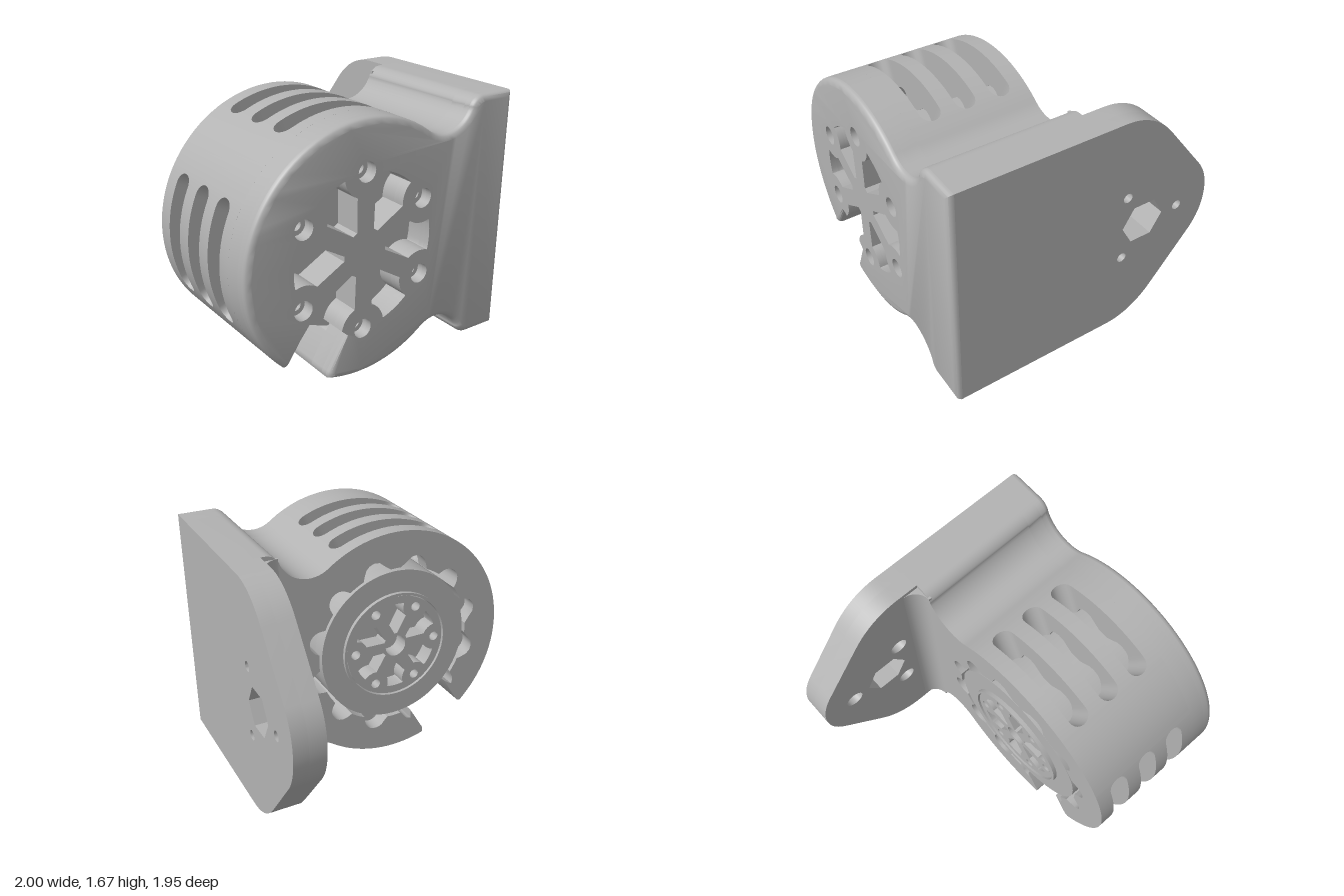
import * as THREE from 'three';
import { toCreasedNormals } from 'three/addons/utils/BufferGeometryUtils.js';

const CX = -0.165, CY = 0.8375, R = 0.8375;      // drum axis and radius
const BACK = -0.06, PLATE = 0.78, FRONT = 0.972; // depth stations
const rad = THREE.MathUtils.degToRad;
const V = (x, y) => new THREE.Vector2(x, y);

// polar point about the drum axis, angle in degrees
const polar = (r, a) => V(CX + r * Math.cos(rad(a)), CY + r * Math.sin(rad(a)));

function arc(x, y, r, a0, a1, n = 12) {
  const pts = [];
  for (let i = 0; i <= n; i++) {
    const a = rad(a0 + (a1 - a0) * i / n);
    pts.push(V(x + r * Math.cos(a), y + r * Math.sin(a)));
  }
  return pts;
}
const circle = (x, y, r, n = 24) => arc(x, y, r, 0, 360 - 360 / n, n - 1);
const drumArc = (a0, a1) => arc(CX, CY, R, a0, a1, Math.max(2, Math.ceil(Math.abs(a1 - a0) / 4)));

// rotate points given along a spoke direction into place
const place = (pts, a) => pts.map(p => p.clone().rotateAround(V(0, 0), rad(a)).add(V(CX, CY)));
const mirrorY = pts => pts.map(p => V(p.x, -p.y)).reverse();

// bore radius with twelve scallops
function bore(a) {
  const d = rad((((a % 30) + 30) % 30) - 15), r = 0.58, rho = 0.085, s = r * Math.sin(d);
  return Math.abs(s) < rho ? r * Math.cos(d) + Math.sqrt(rho * rho - s * s) : r;
}
function boreArc(a0, a1) {
  const pts = [], n = Math.ceil(Math.abs(a1 - a0) / 1.5);
  for (let i = 0; i <= n; i++) {
    const a = a0 + (a1 - a0) * i / n;
    pts.push(polar(bore(a), a));
  }
  return pts;
}

// half of a window between spokes, from the inner tip to the outer corner
const halfWindow = [V(0.155, 0.017), ...arc(0.446, 0.2575, 0.163, -126, -70, 8)];
const windowPts = [...mirrorY(halfWindow), ...halfWindow,
  ...arc(0, 0, 0.515, 11, -11, 6)];

// flank of the block, from its top edge to the drum
const neck = [...arc(0.757, 1.575, 0.1, 90, 159, 8), ...arc(0.46, 1.69, 0.22, 338, 233.7, 16)];
const lowerNeck = neck.map(p => V(p.x, 2 * CY - p.y)).reverse();
const block = [...lowerNeck, V(1, 0), V(1, 2 * CY), ...neck];

// rounded wall of the cable gap, along its direction
const GAP = 240;
const gapTip = [V(0.515, 0.167), V(0.775, 0.167), V(0.797, 0.172), V(0.81, 0.183)];
const gapWall = [V(0.57, 0.167), ...gapTip.slice(1)];

function extrude(pts, holes, z0, z1, steps = 1) {
  const shape = new THREE.Shape(pts);
  shape.holes = holes.map(h => new THREE.Path(h));
  const g = new THREE.ExtrudeGeometry(shape, { depth: z1 - z0, steps, bevelEnabled: false });
  return g.translate(0, 0, z0);
}

// round the front rim of a slab by moving its outline inwards
function roundRim(geo, pts, z0, b) {
  const key = (x, y) => Math.fround(x) + ',' + Math.fround(y), dirs = new Map();
  pts.forEach((p, i) => {
    if (p.distanceTo(V(CX, CY)) < 0.56) return;
    const normal = (a, c) => V(a.y - c.y, c.x - a.x).normalize();
    const n1 = normal(pts.at(i - 1), p), n2 = normal(p, pts[(i + 1) % pts.length]);
    dirs.set(key(p.x, p.y), n1.clone().add(n2).divideScalar(1 + n1.dot(n2)));
  });
  const pos = geo.attributes.position;
  for (let i = 0; i < pos.count; i++) {
    const d = dirs.get(key(pos.getX(i), pos.getY(i)));
    if (!d) continue;
    const t = Math.min(1, Math.max(0, (pos.getZ(i) - z0) / b));
    const k = b * (1 - Math.sqrt(1 - t * t));
    pos.setXY(i, pos.getX(i) + d.x * k, pos.getY(i) + d.y * k);
  }
  return geo;
}

// curved ribs that leave three round-ended vents between them
function ventRibs(mid, half) {
  const N = 24, vents = [0.12, 0.37, 0.615], out = [], r = 0.07;
  const sections = [];
  for (let i = 0; i <= N; i++) {
    const off = -half * Math.cos(Math.PI * i / N), a = mid + off;
    const over = Math.max(0, Math.abs(rad(off)) * R - (rad(half) * R - r));
    const h = Math.sqrt(Math.max(0, r * r - over * over));
    const edges = [BACK, ...vents.flatMap(z => [z - h, z + h]), PLATE];
    const o = polar(R, a), n = polar(bore(a), a);
    sections.push([0, 2, 4, 6].map(k => [
      [o.x, o.y, edges[k]], [o.x, o.y, edges[k + 1]],
      [n.x, n.y, edges[k + 1]], [n.x, n.y, edges[k]]]));
  }
  for (let i = 0; i < N; i++) for (let s = 0; s < 4; s++) for (let k = 0; k < 4; k++) {
    const A = sections[i][s], B = sections[i + 1][s], m = (k + 1) % 4;
    out.push(...A[k], ...B[k], ...B[m], ...A[k], ...B[m], ...A[m]);
  }
  const g = new THREE.BufferGeometry();
  g.setAttribute('position', new THREE.Float32BufferAttribute(out, 3));
  return g;
}

export function createModel() {
  const model = new THREE.Group();
  model.name = 'motorMount';
  const grey = new THREE.MeshStandardMaterial({ color: 0xb2b2b2 });
  grey.name = 'grey';
  const add = (name, geo) => {
    const mesh = new THREE.Mesh(toCreasedNormals(geo, 0.6), grey);
    mesh.name = name;
    model.add(mesh);
  };

  // housing wall, in pieces between the vents and the cable gap
  const g1 = GAP - 13, g2 = GAP + 13;
  const upperGap = place(mirrorY(gapWall), GAP), lowerGap = place(gapWall, GAP);
  const wall = (name, pts) => add(name, extrude(pts, [], BACK, PLATE));
  wall('blockWall', [...drumArc(298.5, 305), ...block, ...drumArc(55, 61.5), ...boreArc(61.5, -61.5)]);
  wall('upperWall', [...drumArc(118.5, 151.5), ...boreArc(151.5, 118.5)]);
  wall('gapWallLeft', [...drumArc(208.5, g1), ...upperGap, ...boreArc(222.5, 208.5)]);
  wall('gapWallRight', [...lowerGap, ...drumArc(g2, 267.5), ...boreArc(267.5, 257.5)]);

  // vented wall sections
  add('topVents', ventRibs(90, 28.5));
  add('sideVents', ventRibs(180, 28.5));
  add('bottomVents', ventRibs(283, 15.5));

  // front plate, with spoke windows and counterbored screw holes
  const outline = [...block, ...drumArc(55, g1),
    ...place(mirrorY(gapTip), GAP), ...place(mirrorY(halfWindow), GAP),
    ...place(halfWindow, GAP), ...place(gapTip, GAP), ...drumArc(g2, 305)];
  const windows = [0, 60, 120, 180, 300].map(a => place(windowPts, a));
  const screws = r => [30, 90, 150, 210, 270, 330].map(a => {
    const p = polar(0.515, a);
    return circle(p.x, p.y, r);
  });
  const rim = 0.04;
  add('frontPlateInner', extrude(outline, [...windows, ...screws(0.035)], PLATE, 0.89));
  add('frontPlateOuter', extrude(outline, [...windows, ...screws(0.065)], 0.89, FRONT - rim));
  add('frontPlateRim', roundRim(
    extrude(outline, [...windows, ...screws(0.065)], FRONT - rim, FRONT, 4), outline, FRONT - rim, rim));

  // side tail plate, drawn with depth running backwards
  const curve = (a, c, b) => new THREE.QuadraticBezierCurve(a, c, b).getPoints(10);
  const upperTail = [V(0.05, 2 * CY),
    ...curve(V(0.22, 2 * CY), V(0.433, 2 * CY), V(0.59, 1.48)),
    ...curve(V(0.88, 1.12), V(0.975, 1.0), V(0.975, CY))];
  const lowerTail = upperTail.slice(0, -1).map(p => V(p.x, 2 * CY - p.y));
  const tail = [...lowerTail, ...upperTail.reverse()];
  const hexagon = circle(0.44, CY, 0.162, 6);
  const tailHoles = r => [0, 120, 240].map(a =>
    circle(0.44 + 0.29 * Math.cos(rad(a)), CY + 0.29 * Math.sin(rad(a)), r));
  const tailSlab = (name, r, x0, x1) =>
    add(name, extrude(tail, [hexagon, ...tailHoles(r)], x0, x1).rotateY(Math.PI / 2));
  tailSlab('tailPlateInner', 0.065, 0.785, 0.9);
  tailSlab('tailPlateOuter', 0.035, 0.9, 1);

  // fillet between the housing back and the tail plate
  const fillet = [V(0.8, 0.04), V(0.8, 0.175), ...arc(0.67, 0.175, 0.115, 0, -90, 8), V(0.67, 0.04)];
  add('tailFillet', extrude(fillet, [], 0.03, 2 * CY - 0.03).rotateX(-Math.PI / 2));

  // motor can, rear ring, raised lip and spoked hub
  const disc = r => circle(CX, CY, r, 64);
  add('motorCan', extrude(disc(0.558), [], 0.05, PLATE));
  add('motorRing', extrude(disc(0.558), [disc(0.39)], -0.055, 0.05));
  add('motorLip', extrude(disc(0.4), [disc(0.382)], -0.082, -0.05));
  const hubHoles = [disc(0.078)];
  for (let a = 0; a < 360; a += 60) {
    hubHoles.push(place(windowPts.map(p => p.clone().multiplyScalar(0.62)), a + 30));
    const p = polar(0.31, a);
    hubHoles.push(circle(p.x, p.y, 0.034, 16));
  }
  add('motorHub', extrude(disc(0.375), hubHoles, -0.07, 0.05));

  return model;
}
